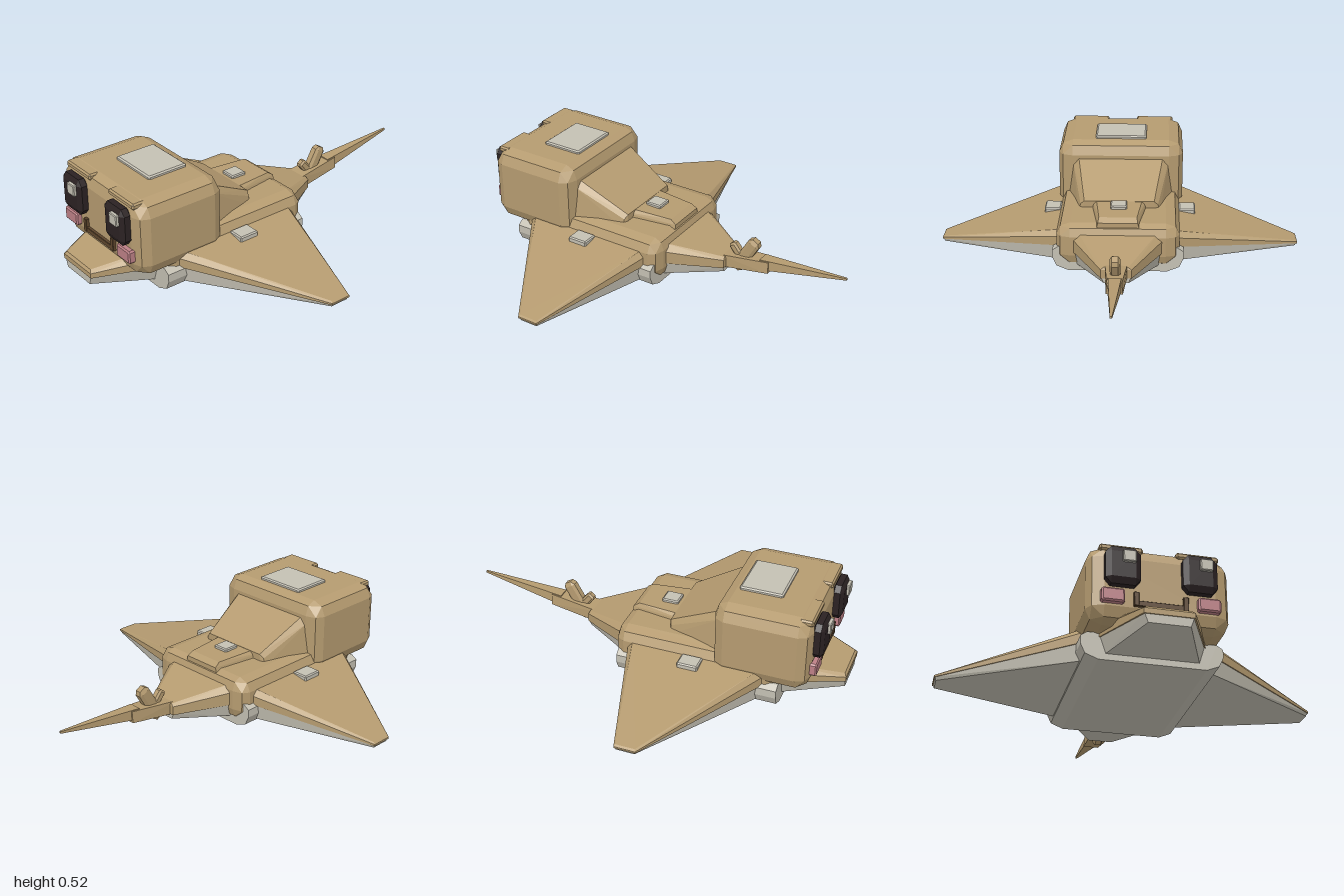
import * as THREE from 'three';
import { ConvexGeometry } from 'three/addons/geometries/ConvexGeometry.js';

const material = (name, color) => {
  const m = new THREE.MeshStandardMaterial({ color });
  m.name = name;
  return m;
};

export function createModel() {
  const model = new THREE.Group();
  model.name = 'flatWingedCreature';
  const tan = material('tan', 0xb59b70);
  const light = material('lightGrey', 0xc4c0b3);
  const dark = material('eyeDark', 0x2b2223);
  const pink = material('cheekPink', 0xbd8086);
  const brown = material('mouthBrown', 0x5e462d);

  // Faceted solid around a set of corner points
  function hull(name, mat, points) {
    const geo = new ConvexGeometry(points.map((p) => new THREE.Vector3(...p)));
    const mesh = new THREE.Mesh(geo, mat);
    mesh.name = name;
    model.add(mesh);
    return mesh;
  }

  // Box from min to max corner; bevel [x, y, z], optionally in two steps
  function block(name, mat, min, max, bevel, twoStep = false) {
    const dirs = [[1, 0, 0], [0, 1, 0], [0, 0, 1]];
    if (twoStep) dirs.push([0.71, 0.71, 0], [0.71, 0, 0.71], [0, 0.71, 0.71]);
    const points = [];
    for (const sx of [0, 1]) for (const sy of [0, 1]) for (const sz of [0, 1]) {
      for (const d of dirs) {
        points.push([sx, sy, sz].map((s, i) =>
          s ? max[i] - bevel[i] * (1 - d[i]) : min[i] + bevel[i] * (1 - d[i])));
      }
    }
    return hull(name, mat, points);
  }

  // Four corners of a trapezoid at depth z: bottom and top half widths
  const slice = (z, y0, y1, w0, w1) => [[-w0, y0, z], [w0, y0, z], [w1, y1, z], [-w1, y1, z]];

  // Body and belly shell
  block('body', tan, [-0.31, 0.03, -0.13], [0.31, 0.25, 0.7], [0.07, 0.06, 0.05], true);
  const bellyProfile = [[0.25, 0], [0.31, 0.025], [0.33, 0.07], [0.33, 0.11], [0.3, 0.13]];
  const belly = [];
  for (const z of [-0.11, 0.71]) for (const s of [-1, 1]) {
    for (const [x, y] of bellyProfile) belly.push([s * x, y, z]);
  }
  hull('belly', light, belly);

  // Head, neck and back hump
  block('head', tan, [-0.33, 0.125, 0.375], [0.33, 0.51, 0.855], [0.075, 0.07, 0.06], true);
  hull('neck', tan, [
    ...slice(0.4, 0.22, 0.4, 0.28, 0.255), ...slice(0.4, 0.22, 0.435, 0.28, 0.225),
    ...slice(0.13, 0.22, 0.265, 0.21, 0.2), ...slice(0.12, 0.22, 0.285, 0.19, 0.18),
  ]);
  hull('backHump', tan, [
    ...slice(0.2, 0.2, 0.265, 0.15, 0.145), ...slice(0.2, 0.2, 0.285, 0.15, 0.125),
    ...slice(-0.08, 0.2, 0.28, 0.115, 0.095), ...slice(-0.11, 0.2, 0.26, 0.115, 0.1),
  ]);
  block('headPlate', light, [-0.135, 0.5, 0.45], [0.135, 0.525, 0.665], [0.008, 0.006, 0.008]);
  block('backPlate', light, [-0.042, 0.275, 0.02], [0.042, 0.298, 0.105], [0.006, 0.005, 0.006]);

  // Wings: tan upper slab over a light lower slab
  for (const [side, s] of [['left', 1], ['right', -1]]) {
    hull(side + 'WingTop', tan, [
      [s * 0.28, 0.115, 0.652], [s * 0.28, 0.115, -0.065], [s * 0.28, 0.165, 0.652],
      [s * 0.28, 0.165, -0.065], [s * 0.28, 0.195, 0.625], [s * 0.28, 0.195, -0.04],
      [s * 0.925, 0.057, 0.235], [s * 0.925, 0.057, 0.13], [s * 0.925, 0.066, 0.235],
      [s * 0.925, 0.066, 0.13], [s * 0.915, 0.073, 0.23], [s * 0.915, 0.073, 0.135],
    ]);
    hull(side + 'WingUnderside', light, [
      [s * 0.28, 0.115, 0.645], [s * 0.28, 0.115, -0.06],
      [s * 0.28, 0.03, 0.63], [s * 0.28, 0.03, -0.045],
      [s * 0.92, 0.058, 0.233], [s * 0.92, 0.058, 0.132],
      [s * 0.915, 0.043, 0.228], [s * 0.915, 0.043, 0.137],
    ]);
    const x = s * 0.353;
    block(side + 'WingPlate', light, [x - 0.043, 0.165, 0.23], [x + 0.043, 0.198, 0.335],
      [0.006, 0.006, 0.006]);
  }

  // Snout
  hull('snoutTop', tan, [
    ...slice(0.7, 0.11, 0.16, 0.25, 0.25), ...slice(0.7, 0.11, 0.195, 0.25, 0.21),
    ...slice(0.995, 0.1, 0.125, 0.115, 0.115), ...slice(0.985, 0.1, 0.138, 0.115, 0.1),
  ]);
  hull('snoutUnderside', light, [
    ...slice(0.7, 0.03, 0.11, 0.22, 0.245), ...slice(0.99, 0.058, 0.102, 0.095, 0.11),
  ]);

  // Rear tail wing
  hull('tailWingTop', tan, [
    ...slice(-0.08, 0.11, 0.18, 0.25, 0.25), ...slice(-0.08, 0.11, 0.212, 0.25, 0.21),
    ...slice(-0.375, 0.085, 0.13, 0.075, 0.075), ...slice(-0.37, 0.085, 0.142, 0.075, 0.06),
  ]);
  hull('tailWingUnderside', light, [
    ...slice(-0.08, 0.03, 0.11, 0.22, 0.245), ...slice(-0.37, 0.058, 0.087, 0.06, 0.072),
  ]);

  // Tail in two tapering segments, with a slanted fin
  hull('tailBase', tan, [
    ...slice(-0.33, 0.075, 0.142, 0.055, 0.055), ...slice(-0.6, 0.113, 0.172, 0.04, 0.035),
  ]);
  hull('tailTip', tan, [
    ...slice(-0.55, 0.115, 0.172, 0.035, 0.032), ...slice(-1, 0.198, 0.208, 0.005, 0.005),
  ]);
  const fin = block('tailFin', tan, [-0.025, -0.115, -0.032], [0.025, 0.1, 0.032], [0.01, 0.02, 0.015]);
  fin.position.set(0, 0.165, -0.465);
  fin.rotation.x = -0.52;
  const barb = block('tailBarb', tan, [-0.02, -0.05, -0.022], [0.02, 0.06, 0.022], [0.008, 0.01, 0.01]);
  barb.position.set(0, 0.155, -0.42);
  barb.rotation.x = 0.7;

  // Face
  for (const [side, s] of [['left', 1], ['right', -1]]) {
    const x = s * 0.177;
    block(side + 'Eye', dark, [x - 0.08, 0.29, 0.84], [x + 0.08, 0.477, 0.9], [0.025, 0.03, 0.015]);
    const gx = x + 0.025;
    block(side + 'EyeGlint', light, [gx - 0.03, 0.395, 0.89], [gx + 0.03, 0.452, 0.915],
      [0.004, 0.004, 0.004]);
    const cx = s * 0.22;
    block(side + 'Cheek', pink, [cx - 0.053, 0.205, 0.84], [cx + 0.053, 0.272, 0.882],
      [0.008, 0.008, 0.006]);
    block(side + 'Brow', tan, [x - 0.1, 0.477, 0.785], [x + 0.1, 0.508, 0.852], [0.008, 0.008, 0.008]);
    block(side + 'MouthCorner', brown, [s * 0.113 - 0.012, 0.2, 0.845],
      [s * 0.113 + 0.012, 0.268, 0.872], [0.002, 0.002, 0.002]);
  }
  block('mouth', brown, [-0.125, 0.2, 0.845], [0.125, 0.226, 0.87], [0.002, 0.002, 0.002]);

  return model;
}
